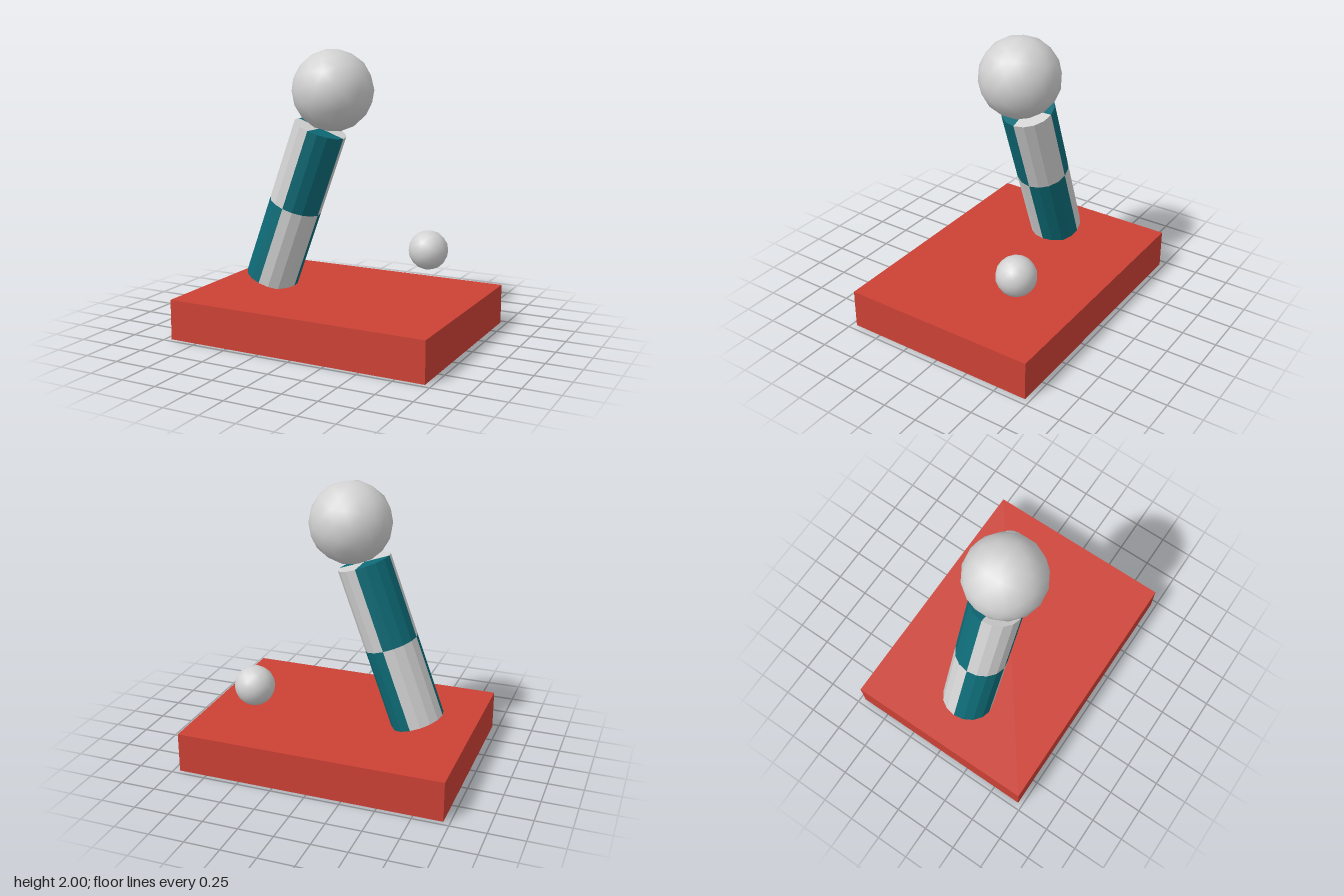
import * as THREE from 'three';
import { mergeGeometries } from 'three/addons/utils/BufferGeometryUtils.js';

const mat = (name, color) => new THREE.MeshStandardMaterial({ name, color });

export function createModel() {
  const red = mat('red', 0xcc4135);
  const teal = mat('teal', 0x0e6b77);
  const grey = mat('lightGrey', 0xd2d2d2);
  const group = new THREE.Group();

  const add = (parent, name, geometry, material, x = 0, y = 0, z = 0) => {
    const mesh = new THREE.Mesh(geometry, material);
    mesh.name = name;
    mesh.position.set(x, y, z);
    parent.add(mesh);
    return mesh;
  };

  // Slab
  add(group, 'base', new THREE.BoxGeometry(1.91, 0.285, 1.43), red, 0, 0.1425, 0);

  // Leaning pillar: two tiers of four quarter sectors in alternating colours
  const radius = 0.19, half = 0.596, quarter = Math.PI / 2;
  const pillar = new THREE.Group();
  pillar.name = 'pillar';
  pillar.position.set(-0.36, 0.888, 0);
  pillar.rotation.z = THREE.MathUtils.degToRad(-20);
  group.add(pillar);

  for (const upper of [true, false]) {
    const dir = upper ? 1 : -1;
    for (let q = 0; q < 4; q++) {
      const side = new THREE.CylinderGeometry(radius, radius, half, 4, 1, true, q * quarter, quarter);
      side.translate(0, dir * half / 2, 0);
      const cap = new THREE.CircleGeometry(radius, 4, upper ? (q - 1) * quarter : -q * quarter, quarter);
      cap.rotateX(-dir * quarter);
      cap.translate(0, dir * half, 0);
      const sector = mergeGeometries([side.toNonIndexed(), cap.toNonIndexed()]);
      sector.computeVertexNormals(); // flat facets
      const isTeal = (q % 2 === 0) === upper;
      add(pillar, (upper ? 'upper' : 'lower') + 'Sector' + (q + 1), sector, isTeal ? teal : grey);
    }
  }

  // Balls
  const big = add(group, 'largeBall', new THREE.IcosahedronGeometry(0.286, 2), grey, -0.058, 1.716, 0);
  big.rotation.z = pillar.rotation.z;
  add(group, 'smallBall', new THREE.IcosahedronGeometry(0.142, 2), grey, 0.522, 0.576, -0.358);

  return group;
}
